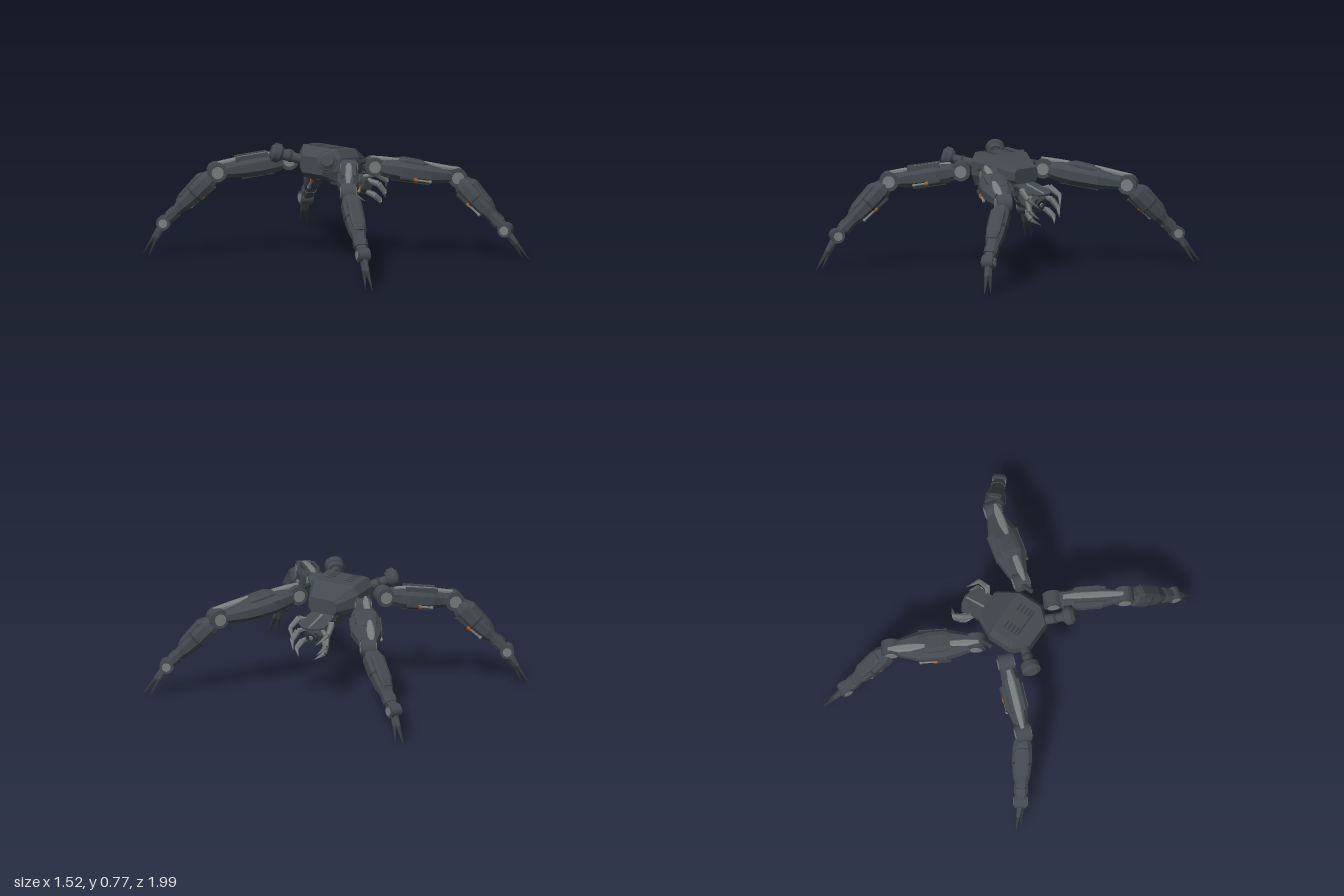
import * as THREE from 'three';

const V = (x, y, z) => new THREE.Vector3(x, y, z);
const mat = (name, color) => {
  const m = new THREE.MeshStandardMaterial({ color });
  m.name = name;
  return m;
};

export function createModel() {
  const armour = mat('gunmetal armour', 0x434a4f);
  const dark = mat('dark metal', 0x363c40);
  const steel = mat('steel', 0x787e7f);
  const orange = mat('orange', 0xb0581c);

  const add = (parent, name, geo, material, x = 0, y = 0, z = 0) => {
    const m = new THREE.Mesh(geo, material);
    m.name = name;
    m.position.set(x, y, z);
    parent.add(m);
    return m;
  };
  const box = (parent, name, material, w, h, d, x, y, z) =>
    add(parent, name, new THREE.BoxGeometry(w, h, d), material, x, y, z);

  // Tapered rod between two points
  const rod = (parent, name, material, a, b, r1, r2, sides = 10) => {
    const d = b.clone().sub(a);
    const g = new THREE.CylinderGeometry(r2, r1, d.length(), sides);
    const mid = a.clone().add(b).multiplyScalar(0.5);
    const m = add(parent, name, g, material, mid.x, mid.y, mid.z);
    m.quaternion.setFromUnitVectors(V(0, 1, 0), d.normalize());
    return m;
  };

  // Faceted hull through octagonal rings: [x, top, bottom, half width, chamfered half width, upper mid, lower mid]
  const hull = (stations) => {
    const rings = stations.map(([x, t, b, w, c, um, lm]) => [
      V(x, t, c), V(x, um, w), V(x, lm, w), V(x, b, c),
      V(x, b, -c), V(x, lm, -w), V(x, um, -w), V(x, t, -c)]);
    const pts = [];
    const n = 8;
    const cap = (r, flip) => {
      for (let i = 1; i < n - 1; i++) pts.push(r[0], r[flip ? i + 1 : i], r[flip ? i : i + 1]);
    };
    for (let s = 0; s < rings.length - 1; s++) {
      const a = rings[s], b = rings[s + 1];
      for (let i = 0; i < n; i++) {
        const j = (i + 1) % n;
        pts.push(a[i], a[j], b[j], a[i], b[j], b[i]);
      }
    }
    cap(rings[0], true);
    cap(rings[rings.length - 1], false);
    const g = new THREE.BufferGeometry().setFromPoints(pts);
    g.computeVertexNormals();
    return g;
  };
  // Symmetric limb section: [x, half height, half width, y offset]
  const limbHull = (list) => hull(list.map(([x, h, w, o = 0]) =>
    [x, o + h, o - h, w, w * 0.6, o + h * 0.45, o - h * 0.45]));

  // Round joint with pale caps on both sides, axis along local z
  const joint = (parent, name, r, len, x) => {
    const disc = (part, k, extra, material) => {
      const g = new THREE.CylinderGeometry(r * k, r * k, len + extra, 24);
      add(parent, name + part, g, material, x).rotation.x = Math.PI / 2;
    };
    disc('Drum', 1, 0, armour);
    disc('Rim', 0.82, 0.012, armour);
    disc('Cap', 0.62, 0.018, steel);
  };

  // Group at a with local x pointing to b and local z horizontal
  const limb = (parent, name, a, b) => {
    const g = new THREE.Group();
    g.name = name;
    const x = b.clone().sub(a).normalize();
    const z = x.clone().cross(V(0, 1, 0)).normalize();
    g.quaternion.setFromRotationMatrix(new THREE.Matrix4().makeBasis(x, z.clone().cross(x), z));
    g.position.copy(a);
    parent.add(g);
    return [g, a.distanceTo(b)];
  };

  // Hydraulic ram with an orange collar
  const piston = (parent, a, b) => {
    rod(parent, 'pistonSleeve', dark, a, a.clone().lerp(b, 0.45), 0.014, 0.014);
    rod(parent, 'pistonRod', steel, a, b, 0.008, 0.008);
    rod(parent, 'pistonCollar', orange, a.clone().lerp(b, 0.45), a.clone().lerp(b, 0.58), 0.0135, 0.0135);
    add(parent, 'pistonEnd', new THREE.SphereGeometry(0.012, 10, 8), steel, b.x, b.y, b.z);
  };

  const makeLeg = (name, sx, hip, knee, ankle) => {
    const leg = new THREE.Group();
    leg.name = name;
    const front = sx > 0;

    // Thigh
    const [thigh, L] = limb(leg, 'thigh', hip, knee);
    const w = front ? 0.095 : 0.066;
    add(thigh, 'thighShell', limbHull([
      [0.02, 0.045, 0.05], [L * 0.2, 0.062, w * 0.8], [L * 0.36, 0.066, w],
      [L * 0.66, 0.06, w], [L * 0.84, 0.047, w * 0.7], [L - 0.02, 0.04, 0.045]]), armour);
    for (const f of [-1, 1])
      box(thigh, 'thighSidePlate', armour, L * 0.34, 0.04, 0.014, L * 0.5, 0.005, f * w).rotation.z = 0.04;
    box(thigh, 'thighBellyPlate', dark, L * 0.45, 0.02, w, L * 0.45, -0.06, 0);
    if (front) {
      add(thigh, 'thighTopPlate', limbHull([
        [L * 0.27, 0.01, w * 0.55, 0.06], [L * 0.36, 0.016, w * 0.72, 0.066],
        [L * 0.56, 0.016, w * 0.72, 0.06], [L * 0.66, 0.01, w * 0.55, 0.054]]), armour);
      add(thigh, 'hipStrut', limbHull([
        [-0.03, 0.012, 0.011, 0.055], [0.05, 0.014, 0.022, 0.057], [L * 0.28, 0.012, 0.02, 0.062]]), steel).position.z = 0.016;
      add(thigh, 'kneeStrut', limbHull([
        [L * 0.58, 0.012, 0.014, 0.066], [L * 0.75, 0.016, 0.026, 0.056],
        [L * 0.9, 0.016, 0.024, 0.052], [L * 1.02, 0.01, 0.012, 0.056]]), steel).position.z = 0.022;
    } else {
      add(thigh, 'topStrut', limbHull([
        [0.06, 0.014, 0.015, 0.05], [L * 0.3, 0.014, 0.022, 0.06],
        [L * 0.65, 0.014, 0.022, 0.059], [L * 0.97, 0.014, 0.014, 0.052]]), steel);
      for (const f of [-1, 1])
        box(thigh, 'strutGuard', armour, L * 0.45, 0.034, 0.02, L * 0.5, 0.061, f * 0.038);
    }
    piston(thigh, V(L * 0.3, -0.042, sx * w), V(L * 0.66, -0.042, sx * w));
    joint(thigh, 'hip', 0.062, 0.092, 0);
    joint(thigh, 'knee', 0.063, 0.09, L);

    // Shin
    const [shin, S] = limb(leg, 'shin', knee, ankle);
    add(shin, 'shinShell', limbHull([
      [0.03, 0.042, 0.042], [S * 0.17, 0.06, 0.062], [S * 0.4, 0.06, 0.064],
      [S * 0.62, 0.05, 0.055], [S * 0.72, 0.036, 0.043], [S - 0.02, 0.032, 0.034]]), armour);
    add(shin, 'shinGuard', limbHull([
      [S * 0.17, 0.012, 0.035, 0.056], [S * 0.23, 0.016, 0.046, 0.062],
      [S * 0.56, 0.014, 0.044, 0.052], [S * 0.66, 0.008, 0.03, 0.044]]), armour);
    add(shin, 'shinBand', limbHull([[S * 0.4, 0.063, 0.067], [S * 0.43, 0.062, 0.066]]), dark);
    add(shin, 'ankleCuff', limbHull([[S * 0.78, 0.04, 0.046], [S * 0.88, 0.04, 0.044]]), armour);
    piston(shin, V(S * 0.18, -0.063, sx * 0.042), V(S * 0.6, -0.05, sx * 0.042));
    joint(shin, 'ankle', 0.046, 0.072, S);

    // Foot claws
    const claw = (i, tip) => {
      const root = ankle.clone().lerp(tip, 0.1);
      const mid = root.clone().lerp(tip, 0.4);
      rod(leg, 'clawBase' + i, armour, root, mid, 0.025, 0.017, 6);
      rod(leg, 'clawTip' + i, dark, mid, tip, 0.017, 0.001, 6);
    };
    claw(1, V(sx * 0.757, 0.003, 0.995));
    claw(2, V(sx * 0.76, 0.006, 0.935));
    return leg;
  };

  const model = new THREE.Group();
  model.name = 'walker';

  // Faceted body
  const body = new THREE.Group();
  body.name = 'body';
  model.add(body);
  add(body, 'bodyShell', hull([
    [-0.235, 0.69, 0.58, 0.1, 0.085, 0.665, 0.61],
    [-0.15, 0.744, 0.53, 0.182, 0.15, 0.69, 0.6],
    [0.02, 0.728, 0.525, 0.182, 0.15, 0.675, 0.595],
    [0.165, 0.655, 0.56, 0.105, 0.085, 0.635, 0.585]]), armour);
  const deck = new THREE.Group();
  deck.name = 'deckDetails';
  deck.position.set(-0.15, 0.744, 0);
  deck.rotation.z = -0.094;
  body.add(deck);
  box(deck, 'rearSeam', dark, 0.01, 0.004, 0.2, 0.01, 0, 0);
  for (const s of [-1, 1]) for (let i = 0; i < 4; i++)
    box(deck, 'vent', dark, 0.009, 0.004, 0.055, 0.03 + i * 0.027, 0, s * 0.073);
  box(body, 'bellyPlate', dark, 0.17, 0.03, 0.17, 0.05, 0.525, 0);
  box(body, 'neckPlate', dark, 0.14, 0.035, 0.11, 0.08, 0.49, 0);

  // Head with brow plate, sensor and grasping jaws
  const head = new THREE.Group();
  head.name = 'head';
  model.add(head);
  const skull = add(head, 'skull', hull([
    [-0.07, 0.04, -0.04, 0.05, 0.035, 0.02, -0.02],
    [-0.01, 0.065, -0.06, 0.068, 0.05, 0.03, -0.03],
    [0.08, 0.052, -0.05, 0.06, 0.045, 0.025, -0.025]]), armour, 0.205, 0.458, 0);
  skull.rotation.z = -0.45;
  rod(head, 'sensorRing', dark, V(0.26, 0.445, 0), V(0.3, 0.43, 0), 0.046, 0.036, 16);
  rod(head, 'sensor', steel, V(0.295, 0.432, 0), V(0.306, 0.428, 0), 0.018, 0.014, 16);
  // Brow plate slopes down towards the jaws
  const brow = new THREE.Group();
  brow.name = 'brow';
  brow.position.set(0.13, 0.55, 0);
  brow.rotation.z = -0.28;
  head.add(brow);
  const fan = new THREE.Shape([[0, -0.085], [0.1, -0.095], [0.17, -0.1], [0.205, -0.05], [0.215, 0],
    [0.205, 0.05], [0.17, 0.1], [0.1, 0.095], [0, 0.085]].map(([x, y]) => new THREE.Vector2(x, y)));
  add(brow, 'browPlate', new THREE.ExtrudeGeometry(fan, { depth: 0.012, bevelEnabled: false }), armour)
    .rotation.x = -Math.PI / 2;
  rod(brow, 'browRidge', steel, V(0.04, 0.01, 0), V(0.2, 0.012, 0), 0.01, 0.006, 6);
  const jaws = [
    [V(0.2, 0.51, 0.06), V(0.25, 0.53, 0.125), V(0.325, 0.48, 0.145), V(0.385, 0.415, 0.085)],
    [V(0.23, 0.41, 0.04), V(0.265, 0.385, 0.09), V(0.31, 0.345, 0.105), V(0.358, 0.31, 0.06)],
    [V(0.25, 0.48, 0.05), V(0.285, 0.455, 0.11), V(0.325, 0.4, 0.13), V(0.375, 0.35, 0.09)]];
  const radii = [0.016, 0.022, 0.017, 0.001];
  for (const s of [-1, 1]) jaws.forEach((path, k) => {
    const p = path.map((v) => V(v.x, v.y, v.z * s));
    for (let i = 0; i < 3; i++) rod(head, 'jaw' + (k + 1), steel, p[i], p[i + 1], radii[i], radii[i + 1], 4);
  });

  // Rear pods and their arms
  for (const s of [-1, 1]) {
    const pod = new THREE.Group();
    pod.name = s > 0 ? 'frontPod' : 'backPod';
    model.add(pod);
    const at = (t, y) => V(-0.18 - 0.15 * t, y, s * (0.09 + 0.13 * t));
    rod(pod, 'podArm', armour, at(0, 0.65), at(0.95, 0.695), 0.034, 0.03, 16);
    rod(pod, 'podCollar', dark, at(0.5, 0.674), at(0.58, 0.678), 0.036, 0.036, 16);
    rod(pod, 'podBack', armour, at(0.8, 0.692), at(0.9, 0.698), 0.042, 0.058, 24);
    rod(pod, 'podWheel', armour, at(0.9, 0.698), at(1.1, 0.71), 0.062, 0.062, 24);
    rod(pod, 'podFace', armour, at(1.1, 0.71), at(1.18, 0.715), 0.056, 0.038, 24);
  }

  // Four legs, mirrored front to back, with hip pins
  for (const s of [1, -1]) {
    const pair = new THREE.Group();
    pair.name = s > 0 ? 'frontLegs' : 'backLegs';
    pair.scale.z = s;
    model.add(pair);
    pair.add(makeLeg('leftLeg', 1, V(0.075, 0.62, 0.255), V(0.52, 0.527, 0.575), V(0.672, 0.195, 0.865)));
    pair.add(makeLeg('rightLeg', -1, V(-0.167, 0.632, 0.262), V(-0.515, 0.562, 0.57), V(-0.7, 0.218, 0.862)));
    rod(pair, 'hipPin', dark, V(-0.035, 0.655, 0.23), V(0.05, 0.655, 0.23), 0.016, 0.016);
  }
  return model;
}
